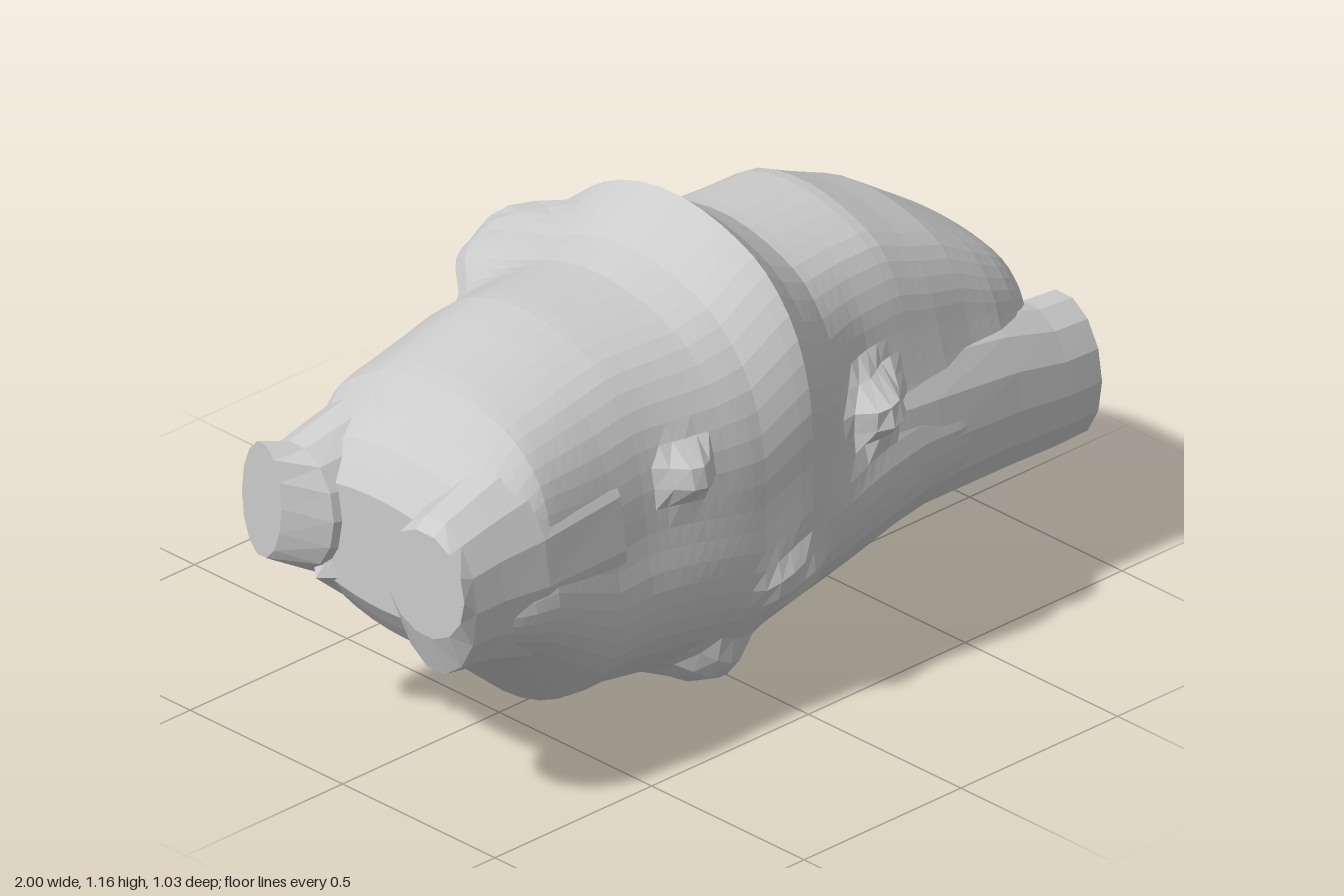
import * as THREE from 'three';

const material = new THREE.MeshStandardMaterial({ color: 0xcccccc, flatShading: true, side: THREE.DoubleSide });
const { lerp, smoothstep } = THREE.MathUtils;

// Joins closed rings (arrays of Vector3, ordered along x) into a capped skin
function loft(name, rings) {
  const n = rings[0].length, pos = [], index = [];
  rings.forEach(r => r.forEach(p => pos.push(p.x, p.y, p.z)));
  for (let i = 0; i < rings.length - 1; i++) {
    for (let j = 0; j < n; j++) {
      const a = i * n + j, b = i * n + (j + 1) % n;
      index.push(a, b, a + n, b, b + n, a + n);
    }
  }
  const last = (rings.length - 1) * n;
  [0, last].forEach(start => {
    const c = rings[start / n].reduce((s, p) => s.add(p), new THREE.Vector3()).divideScalar(n);
    const k = pos.length / 3;
    pos.push(c.x, c.y, c.z);
    for (let j = 0; j < n; j++) {
      const a = start + j, b = start + (j + 1) % n;
      if (start) index.push(k, a, b); else index.push(k, b, a);
    }
  });
  const g = new THREE.BufferGeometry();
  g.setAttribute('position', new THREE.Float32BufferAttribute(pos, 3));
  g.setIndex(index);
  g.computeVertexNormals();
  const mesh = new THREE.Mesh(g, material);
  mesh.name = name;
  return mesh;
}

// Elliptical tube; stations are [x, y, z, radiusY, radiusZ]
function tube(name, stations, sides = 14) {
  return loft(name, stations.map(([x, y, z, ry, rz]) => Array.from({ length: sides }, (_, j) => {
    const a = j / sides * Math.PI * 2;
    return new THREE.Vector3(x, y + Math.sin(a) * ry, z - Math.cos(a) * rz);
  })));
}

// Small pointed nub whose tip faces the given direction
function nub(name, base, dir, radius, height) {
  const g = new THREE.ConeGeometry(radius, height, 5);
  g.translate(0, height / 2, 0);
  const mesh = new THREE.Mesh(g, material);
  mesh.quaternion.setFromUnitVectors(new THREE.Vector3(0, 1, 0), new THREE.Vector3(...dir).normalize());
  mesh.position.set(...base);
  mesh.name = name;
  return mesh;
}

const RING = 52, STEPS = 56;
const smoothRing = points => new THREE.CatmullRomCurve3(
  points.map(([u, v]) => new THREE.Vector3(0, v, u)), true).getPoints(RING).slice(0, RING);

// Cross-sections as [z from -1 to 1, height from 0 to 1]
const middleRing = smoothRing([
  [-1, .5], [-.97, .66], [-.88, .8], [-.68, .9], [-.4, .97], [0, 1], [.4, .97], [.68, .91], [.89, .8], [.99, .66],
  [1, .5], [1, .36], [.93, .24], [.68, .11], [.3, .01], [-.1, 0], [-.5, .07], [-.85, .22], [-.97, .36],
]);
const leftRing = smoothRing([
  [-1, .54], [-.96, .66], [-.84, .79], [-.6, .89], [-.38, .97], [0, 1], [.35, .97], [.6, .91], [.75, .8], [.82, .68],
  [.9, .54], [1, .4], [.96, .26], [.68, .1], [.3, .01], [-.1, 0], [-.5, .07], [-.82, .22], [-.94, .38],
]);

// Main body along x: [x, bottom, top, back, front]
const stations = [
  [-.92, .44, .72, -.28, .34], [-.86, .35, .81, -.33, .4], [-.8, .31, .86, -.34, .42],
  [-.72, .25, .95, -.36, .43], [-.64, .18, .97, -.38, .43], [-.52, .08, 1, -.4, .43],
  [-.42, .08, 1.02, -.41, .43], [-.2, .05, 1.03, -.41, .45], [-.1, .005, 1.06, -.42, .46],
  [.03, .05, 1.16, -.42, .48], [.1, .06, 1.1, -.41, .46], [.2, .08, 1.04, -.4, .44],
  [.45, .15, 1.03, -.4, .43], [.56, .18, .98, -.39, .43], [.66, .21, .94, -.37, .42],
  [.75, .25, .88, -.35, .42], [.84, .3, .82, -.34, .4], [.89, .34, .78, -.32, .36], [.92, .39, .68, -.28, .3],
];

// Swellings drawn out of the body: [centre, push, radii]
const swellings = [
  [[-.05, .88, -.36], [0, 0, -.16], [.2, .1, .3]],
  [[-.31, .71, .42], [0, 0, .06], [.06, .06, .2]],
  [[.31, .65, .41], [0, 0, .09], [.07, .07, .2]],
  [[-.14, .13, .25], [0, -.03, .05], [.08, .08, .15]],
  [[.16, .32, -.36], [.01, -.02, -.11], [.07, .06, .15]],
  [[-.62, .27, -.28], [0, -.05, -.07], [.06, .06, .12]],
  [[0, .33, .44], [0, 0, .03], [.1, .08, .2]],
];

function bodyRing(x) {
  const k = Math.max(1, stations.findIndex(s => s[0] >= x - 1e-6));
  const [a, b] = [stations[k - 1], stations[k]];
  const [bottom, top, back, front] = [1, 2, 3, 4].map(i => lerp(a[i], b[i], (x - a[0]) / (b[0] - a[0])));
  const blend = smoothstep(x, .05, .35) + .45 * smoothstep(-x, .1, .4);
  return middleRing.map((m, j) => {
    const p = m.clone().lerp(leftRing[j], blend);
    p.set(x, lerp(bottom, top, p.y), (back + front) / 2 + p.z * (front - back) / 2);
    const moved = p.clone();
    swellings.forEach(([c, push, r]) => {
      const d = p.clone().sub(new THREE.Vector3(...c)).divide(new THREE.Vector3(...r)).lengthSq();
      moved.addScaledVector(new THREE.Vector3(...push), Math.exp(-d * d));
    });
    return moved;
  });
}

export function createModel() {
  const model = new THREE.Group();
  model.name = 'lumpyBody';

  const rings = Array.from({ length: STEPS + 1 }, (_, i) => bodyRing(lerp(-.92, .92, i / STEPS)));
  model.add(loft('body', rings));

  // Cut-off tubes flaring out of the body at both ends
  model.add(tube('leftFrontTube', [
    [.2, .5, .2, .26, .22], [.5, .49, .24, .24, .19], [.75, .48, .28, .215, .15],
    [.9, .465, .305, .19, .13], [1, .465, .31, .185, .125],
  ]));
  model.add(tube('leftBackStub', [[.7, .58, -.19, .22, .15], [.9, .6, -.23, .12, .1], [1, .61, -.27, .05, .05]], 8));
  model.add(tube('rightFrontTube', [
    [-1, .62, .27, .135, .13], [-.965, .58, .27, .2, .135], [-.88, .585, .265, .22, .145],
    [-.75, .58, .25, .26, .175], [-.5, .58, .2, .3, .22],
  ]));
  model.add(tube('rightBackTube', [
    [-1, .635, -.265, .15, .065], [-.94, .62, -.21, .16, .12], [-.85, .61, -.2, .2, .14], [-.6, .6, -.18, .28, .18],
  ]));

  // Rough nubs around the end hollows: [base, direction, radius, height]
  [
    [[.89, .65, -.21], [1, .3, 0], .08, .08],
    [[.9, .58, -.28], [1, 0, -.5], .07, .08],
    [[.9, .41, -.09], [1, -.2, 0], .07, .06],
    [[-.9, .47, -.14], [-1, -.2, 0], .07, .05],
  ].forEach(([base, dir, r, h], i) => model.add(nub('nub' + (i + 1), base, dir, r, h)));

  return model;
}
